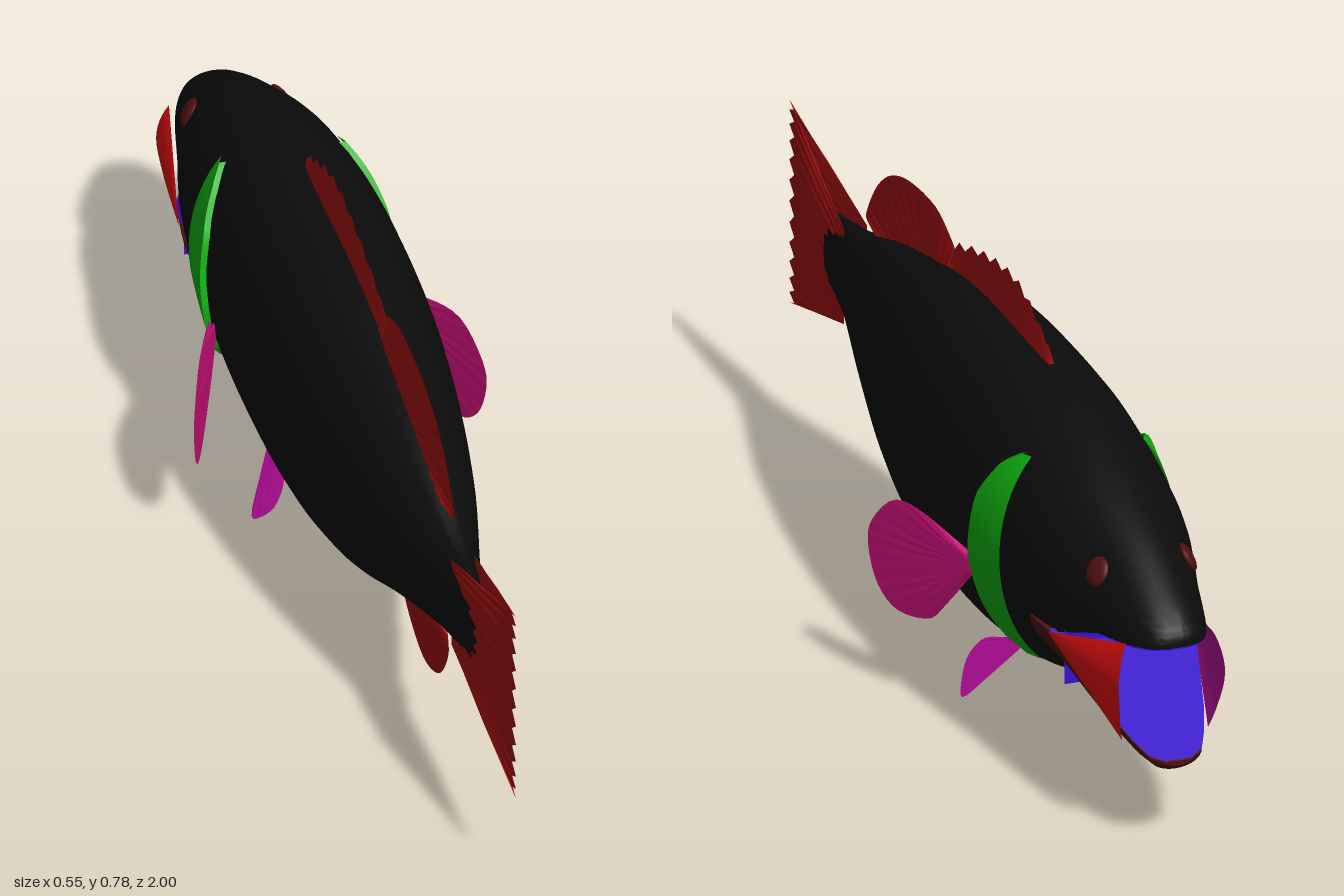
import * as THREE from 'three';
import { toCreasedNormals } from 'three/addons/utils/BufferGeometryUtils.js';

const mat = (name, color, side = THREE.FrontSide) => new THREE.MeshStandardMaterial({ name, color, side });
const V = (x, y, z) => new THREE.Vector3(x, y, z);
const lerp = THREE.MathUtils.lerp;

// Surface through rows of points; flip turns it inside out
function grid(rows, flip = false, crease = 0.7) {
  const n = rows[0].length, index = [];
  for (let i = 0; i < rows.length - 1; i++) for (let j = 0; j < n - 1; j++) {
    const a = i * n + j, b = a + 1, c = a + n, d = c + 1;
    index.push(...(flip ? [a, c, b, b, c, d] : [a, b, c, b, d, c]));
  }
  const g = new THREE.BufferGeometry().setFromPoints(rows.flat());
  g.setIndex(index);
  return toCreasedNormals(g, crease);
}

// n + 1 points along a smooth line through [z, y] pairs
function trace(pts, n) {
  return new THREE.SplineCurve(pts.map(p => new THREE.Vector2(...p))).getPoints(n);
}

// Piecewise linear value from [key, value] pairs with rising keys
function table(pairs, k) {
  for (let i = 1; i < pairs.length; i++) if (k <= pairs[i][0]) {
    const [a, b] = [pairs[i - 1], pairs[i]];
    return lerp(a[1], b[1], THREE.MathUtils.clamp((k - a[0]) / (b[0] - a[0]), 0, 1));
  }
  return pairs[pairs.length - 1][1];
}

// Body stations: z, top, bottom, half width
const stations = [
  [-1, 0.43, 0.40, 0.02], [-0.985, 0.45, 0.37, 0.05], [-0.93, 0.49, 0.31, 0.08], [-0.82, 0.552, 0.25, 0.108],
  [-0.68, 0.61, 0.225, 0.145], [-0.53, 0.656, 0.162, 0.165], [-0.37, 0.685, 0.128, 0.173], [-0.2, 0.69, 0.113, 0.174],
  [0, 0.685, 0.113, 0.163], [0.2, 0.652, 0.157, 0.138], [0.4, 0.603, 0.243, 0.1], [0.6, 0.532, 0.312, 0.05],
  [0.7, 0.512, 0.328, 0.028], [0.78, 0.495, 0.34, 0.016], [0.805, 0.46, 0.375, 0.006]];
const heights = new THREE.CatmullRomCurve3(stations.map(s => V(s[0], s[1], s[2])), false, 'catmullrom');
const widths = new THREE.CatmullRomCurve3(stations.map(s => V(s[0], s[3], 0)), false, 'catmullrom');
const sections = Array.from({ length: 71 }, (_, i) => {
  const h = heights.getPoint(i / 70), w = widths.getPoint(i / 70);
  return { z: h.x, top: h.y, bot: h.z, w: w.y };
});
const at = (z, key) => table(sections.map(s => [s.z, s[key]]), z);
function bodyX(z, y) {
  const t = at(z, 'top'), b = at(z, 'bot'), k = (y - (t + b) / 2) / ((t - b) / 2);
  return at(z, 'w') * Math.sqrt(Math.max(0, 1 - k * k));
}
const upperLip = z => table([[-1, 0.41], [-0.85, 0.39], [-0.7, 0.33]], z);
const lowerLip = z => table([[-1, 0.185], [-0.7, 0.335]], z);

// Close a loft with a point at each end
function closed(rows) {
  const cap = row => {
    const c = row.reduce((s, p) => s.add(p), V(0, 0, 0)).divideScalar(row.length);
    return row.map(() => c.clone());
  };
  return [cap(rows[0]), ...rows, cap(rows[rows.length - 1])];
}

// Wedge fin: thick at the base, sharp at the tip, with pleated rays
function fin(base, tip, thick, place = (z, y) => V(0, y, z)) {
  return grid(base.map((b, i) => {
    const t = tip[i], p = place(b.x, b.y), q = place(t.x, t.y);
    const m = p.clone().lerp(q, 0.55), h = thick * (i % 2 ? 0.6 : 0.4);
    return [V(p.x + thick, p.y, p.z), V(m.x + h, m.y, m.z), q, V(m.x - h, m.y, m.z), V(p.x - thick, p.y, p.z)];
  }), false, 0.3);
}

export function createModel() {
  const fish = new THREE.Group();
  fish.name = 'fish';
  const black = mat('body black', 0x0c0c0c);
  const finRed = mat('fin red', 0xa01010, THREE.DoubleSide);
  const darkRed = mat('dark red', 0x501010, THREE.DoubleSide);
  const green = mat('gill green', 0x10b010, THREE.DoubleSide);
  const pink = mat('pectoral pink', 0xc81078, THREE.DoubleSide);
  const magenta = mat('pelvic magenta', 0xd010b0, THREE.DoubleSide);
  const red = mat('cheek red', 0xe01010);
  const inner = mat('inner cheek magenta', 0xb01090);
  const blue = mat('mouth blue', 0x3810c8, THREE.DoubleSide);
  const add = (name, geometry, material) => {
    const m = new THREE.Mesh(geometry, material);
    m.name = name;
    fish.add(m);
    return m;
  };

  // Body and upper jaw, cut flat above the mouth
  add('body', grid(closed(sections.map(({ z, top, bot, w }) => Array.from({ length: 41 }, (_, j) => {
    const a = j / 40 * Math.PI * 2, y = (top + bot) / 2 + (top - bot) / 2 * Math.sin(a);
    return V(w * Math.cos(a), z < -0.69 ? Math.max(y, upperLip(z)) : y, z);
  })))), black);

  // Lower jaw: a half round scoop
  const jawBottom = [[-1, 0.175], [-0.985, 0.163], [-0.95, 0.166], [-0.85, 0.195], [-0.7, 0.235], [-0.62, 0.24]];
  const jawWidth = [[-1, 0.025], [-0.985, 0.05], [-0.93, 0.078], [-0.82, 0.108], [-0.68, 0.142], [-0.62, 0.145]];
  const jawZ = [-1, -0.985, -0.95, -0.9, -0.85, -0.8, -0.75, -0.7, -0.66, -0.62];
  add('lowerJaw', grid(closed(jawZ.map(z => Array.from({ length: 22 }, (_, j) => {
    const a = Math.PI * (1 + j / 20), top = lowerLip(z), w = table(jawWidth, z);
    return j === 21 ? V(-w, top, z) : V(w * Math.cos(a), top + (top - table(jawBottom, z)) * Math.sin(a), z);
  })))), darkRed);

  // Mouth lining
  const mouthZ = jawZ.slice(0, 8);
  add('mouthFloor', grid(mouthZ.map(z => [-1, 1].map(s => V(s * table(jawWidth, z), lowerLip(z) + 0.003, z)))), blue);
  add('mouthRoof', grid(mouthZ.map(z => [-1, 1].map(s => V(s * bodyX(z, upperLip(z)), upperLip(z) - 0.003, z)))), blue);
  add('throat', grid([0.24, 0.4].map(y => [-0.12, 0.12].map(x => V(x, y, -0.735)))), blue);

  // Unpaired fins
  const teeth = (pts, n, dz, dy) => trace(pts, n).map((p, i) => i % 2 ? p.set(p.x - dz, p.y - dy) : p);
  const spineTips = teeth([[-0.345, 0.69], [-0.33, 0.72], [-0.18, 0.78], [0, 0.76], [0.17, 0.705]], 24, 0, 0.016);
  add('spinyDorsalFin', fin(spineTips.map(p => ({ x: p.x, y: at(p.x, 'top') - 0.02 })), spineTips, 0.011), finRed);
  const softTips = trace([[0.14, 0.69], [0.17, 0.71], [0.25, 0.738], [0.38, 0.73], [0.475, 0.70],
    [0.545, 0.65], [0.595, 0.585], [0.6, 0.555], [0.52, 0.55]], 32);
  add('softDorsalFin', fin(trace([[0.14, 0.64], [0.3, 0.61], [0.5, 0.545]], 32), softTips, 0.014), finRed);
  const analTips = trace([[0.26, 0.2], [0.275, 0.175], [0.31, 0.142], [0.4, 0.112], [0.49, 0.138],
    [0.545, 0.195], [0.565, 0.255], [0.51, 0.285]], 28);
  add('analFin', fin(trace([[0.26, 0.21], [0.38, 0.26], [0.5, 0.3]], 28), analTips, 0.014), finRed);
  add('tailFin', fin(trace([[0.66, 0.515], [0.66, 0.325]], 24),
    teeth([[1, 0.62], [1, 0.215]], 24, 0.025, 0), 0.022), finRed);

  for (const s of [1, -1]) {
    const side = s > 0 ? 'left' : 'right', flip = s < 0;

    // Pectoral fin, swept out and back
    const pecTips = trace([[-0.37, 0.348], [-0.29, 0.387], [-0.205, 0.395], [-0.147, 0.335], [-0.137, 0.28],
      [-0.16, 0.21], [-0.21, 0.175], [-0.29, 0.19], [-0.325, 0.245], [-0.375, 0.31]], 36);
    add(side + 'PectoralFin', fin(trace([[-0.39, 0.345], [-0.385, 0.315]], 36), pecTips, 0.008,
      (z, y) => V(s * (0.17 + (z + 0.38) * 0.43), y, z)), pink);

    // Pelvic fin, splayed down
    const pelTips = trace([[-0.345, 0.125], [-0.297, 0.06], [-0.25, 0.002], [-0.217, 0.018], [-0.195, 0.055],
      [-0.215, 0.095], [-0.27, 0.12]], 20);
    add(side + 'PelvicFin', fin(trace([[-0.345, 0.135], [-0.31, 0.135]], 20), pelTips, 0.006,
      (z, y) => V(s * (0.065 + (0.125 - y) * 0.56), y, z)), magenta);

    // Gill cover: a crescent lying on the body, raised at its back edge
    const back = [[0.195, -0.5], [0.205, -0.46], [0.265, -0.415], [0.36, -0.4], [0.495, -0.425], [0.575, -0.475], [0.602, -0.51]];
    add(side + 'GillCover', grid(Array.from({ length: 25 }, (_, i) => {
      const y = lerp(0.195, 0.602, i / 24), zb = table(back, y);
      return Array.from({ length: 9 }, (_, j) => {
        const z = lerp(-0.532, zb, Math.min(j, 7) / 7);
        return V(s * (bodyX(z, y) + (j === 8 ? -0.01 : 0.005 + 0.007 * j / 7)), y, z);
      });
    }), !flip), green);

    // Cheek membrane fanning from the mouth corner
    const edge = trace([[-0.955, 0.412], [-0.968, 0.36], [-0.966, 0.3], [-0.935, 0.21]], 12);
    const cheek = offset => edge.map((e, i) => Array.from({ length: 7 }, (_, j) => {
      const t = j / 6, bulge = 0.02 * Math.sin(i / 12 * Math.PI) * t;
      return V(s * (lerp(0.14, 0.084, t) + bulge - offset), lerp(0.333, e.y, t), lerp(-0.7, e.x, t));
    }));
    add(side + 'Cheek', grid(cheek(0), !flip), red);
    add(side + 'InnerCheek', grid(cheek(0.003), flip), inner);

    // Eye
    const eye = add(side + 'Eye', new THREE.SphereGeometry(0.028, 20, 14), darkRed);
    eye.position.set(s * (bodyX(-0.815, 0.495) + 0.001), 0.495, -0.815);
    eye.scale.x = 0.35;
    eye.rotation.set(0, s * 0.25, s * 0.5);
  }
  return fish;
}
